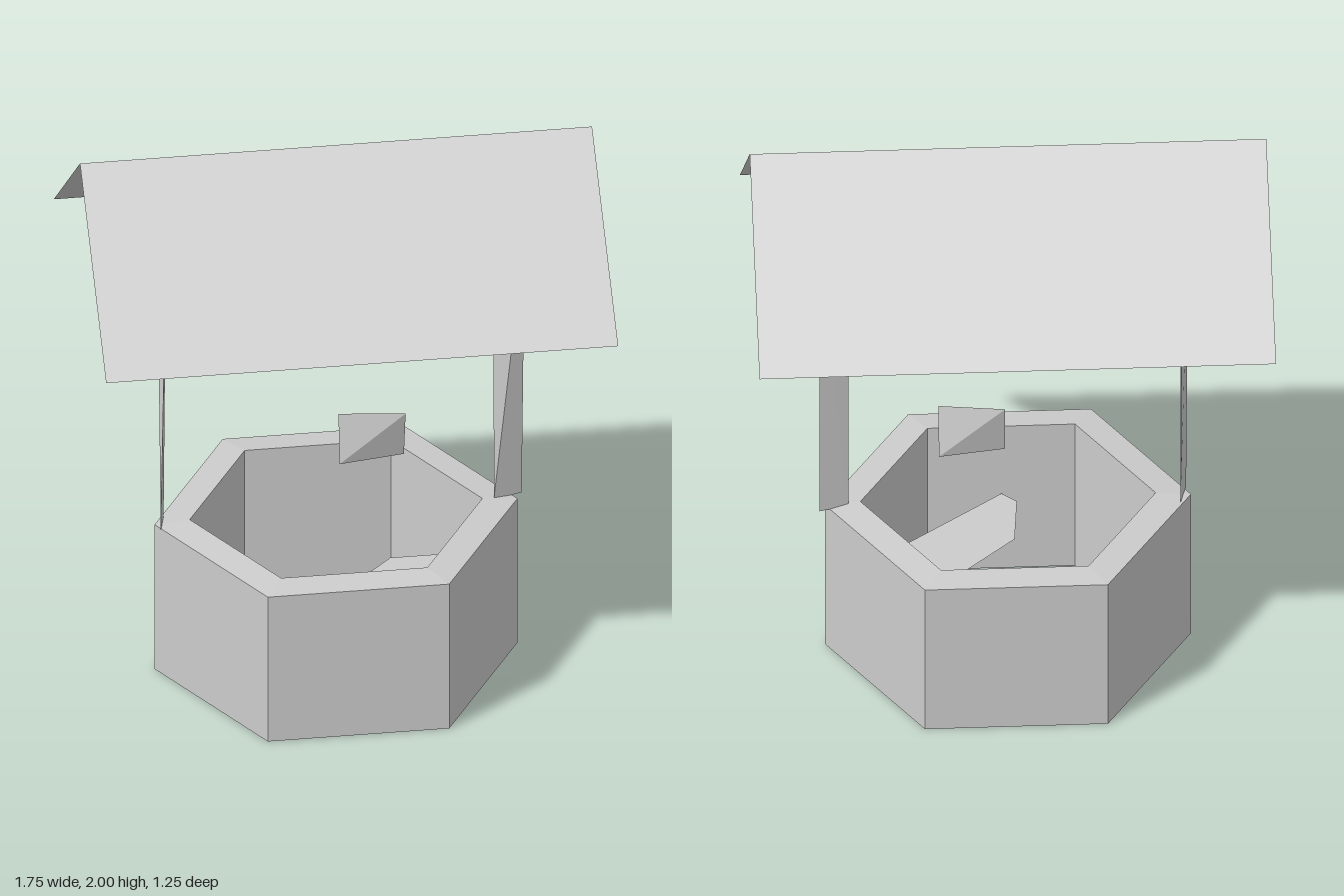
import * as THREE from 'three';
import { ConvexGeometry } from 'three/addons/geometries/ConvexGeometry.js';

export function createModel() {
  const group = new THREE.Group();
  const grey = new THREE.MeshStandardMaterial({ color: 0xcccccc, side: THREE.DoubleSide });
  grey.name = 'plain grey';

  const add = (name, geometry) => {
    const mesh = new THREE.Mesh(geometry, grey);
    mesh.name = name;
    group.add(mesh);
    return mesh;
  };
  const facet = (geometry) => {
    const g = geometry.toNonIndexed();
    g.computeVertexNormals();
    return g;
  };
  const hull = (points) => new ConvexGeometry(points.map((p) => new THREE.Vector3(...p)));

  // Hexagonal well wall, open through the middle, rim rising slightly inward
  const profile = [[0.5, 0], [0.62, 0], [0.62, 0.565], [0.5, 0.575], [0.5, 0]]
    .map(([r, y]) => new THREE.Vector2(r, y));
  add('wellWall', facet(new THREE.LatheGeometry(profile, 6, Math.PI / 2)));

  // Partial water sheet inside the well
  const water = new THREE.Shape([[0.49, 0], [0, 0.42], [-0.05, 0.37], [-0.03, 0.14], [0.2, -0.1], [0.43, -0.1]]
    .map(([x, z]) => new THREE.Vector2(x, -z)));
  const waterGeometry = new THREE.ShapeGeometry(water);
  waterGeometry.rotateX(-Math.PI / 2);
  waterGeometry.translate(0, 0.31, 0);
  add('water', waterGeometry);

  // Posts: a triangle at the top narrowing to an edge at the bottom
  const top = 1.61, foot = 0.565;
  add('leftPost', hull([
    [0.54, top, -0.01], [0.638, top, 0.048], [0.64, top, -0.046],
    [0.54, foot, -0.005], [0.64, foot, -0.038],
  ]));
  add('rightPost', hull([
    [-0.588, top, 0.048], [-0.588, top, -0.048], [-0.61, top, 0],
    [-0.606, foot, 0.05], [-0.582, foot, -0.05],
  ]));

  // Cross beam under the roof
  const beam = add('crossBeam', new THREE.BoxGeometry(1.38, 0.1, 0.096));
  beam.position.y = 1.575;

  // Thin wedge-shaped bucket
  add('bucket', hull([
    [0.01, 0.94, -0.012], [0.235, 0.94, 0.02], [0.01, 0.76, 0.018], [0.235, 0.76, -0.02],
  ]));

  // Two thin roof slopes meeting at the ridge
  const halfDepth = 0.624, rise = 0.5;
  for (const side of [1, -1]) {
    const slope = new THREE.PlaneGeometry(1.75, Math.hypot(halfDepth, rise));
    slope.rotateX(-Math.atan2(halfDepth, rise));
    if (side < 0) slope.rotateY(Math.PI);
    slope.translate(0, 2 - rise / 2, side * halfDepth / 2);
    add(side > 0 ? 'frontRoofSlope' : 'backRoofSlope', slope);
  }

  return group;
}
